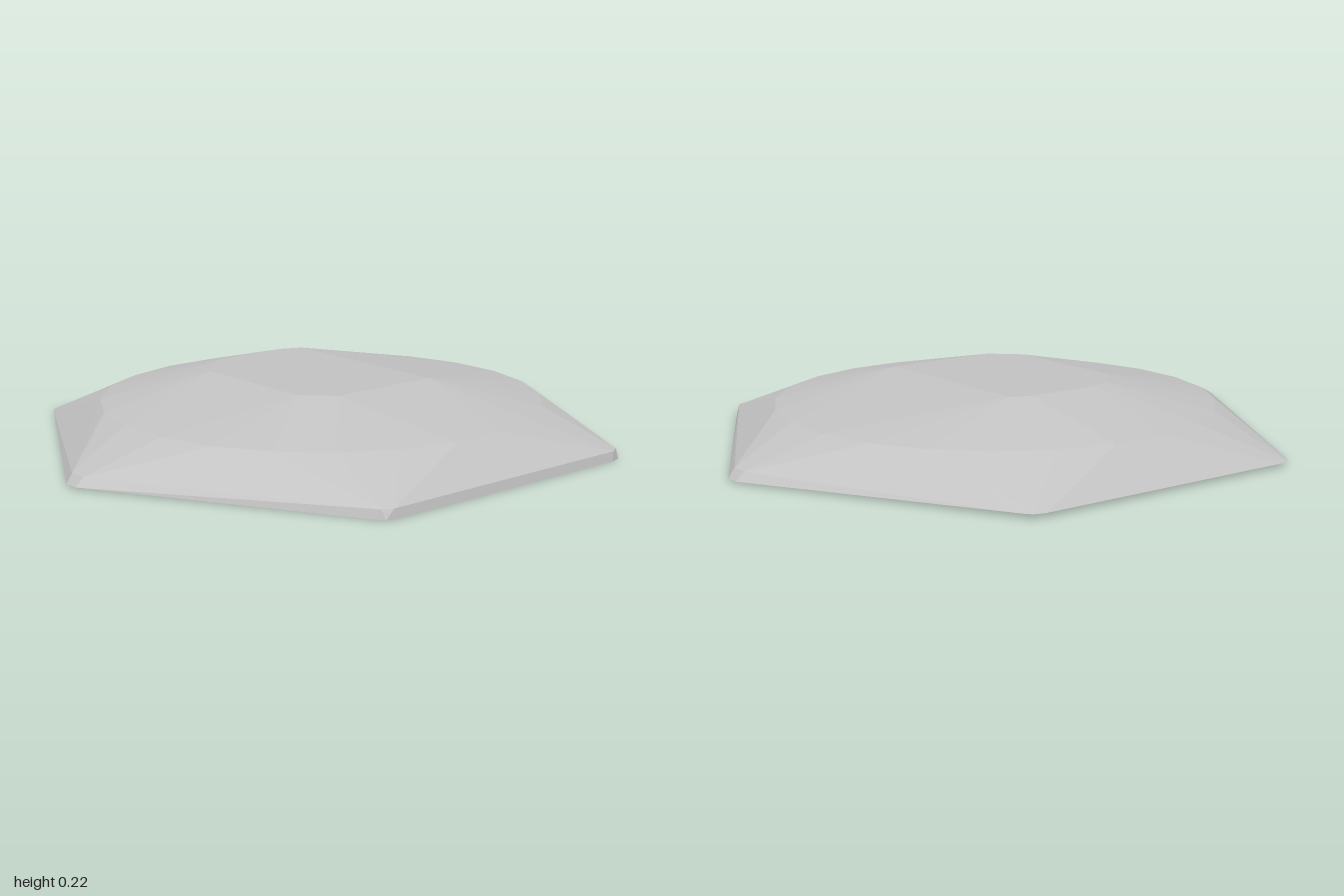
import * as THREE from 'three';
import { ConvexGeometry } from 'three/addons/geometries/ConvexGeometry.js';

export function createModel() {
  const group = new THREE.Group();
  group.name = 'hexagonalStone';
  const stone = new THREE.MeshStandardMaterial({ color: 0xc2c2c2 });
  stone.name = 'pale grey stone';

  const points = [];
  const add = (x, y, z) => points.push(new THREE.Vector3(x, y, z));

  // Hexagonal base with clipped corners, tilted slightly up towards the back
  const baseY = (z) => 0.0075 * (0.875 - z);
  for (const sx of [-1, 1]) {
    for (const sz of [-1, 1]) {
      for (const [x, z] of [[1, 0.025], [0.53, 0.84], [0.51, 0.865], [0.47, 0.875]]) {
        add(sx * x, baseY(sz * z), sz * z);
      }
    }
    // Low rim on the side and front corners
    add(sx * 0.975, 0.035, 0.03);
    add(sx * 0.975, 0.035, -0.03);
    add(sx * 0.515, 0.03, 0.85);
    add(sx * 0.48, 0.03, 0.868);
  }

  // Round shoulder
  const sides = 24;
  for (let i = 0; i < sides; i++) {
    const a = ((i + 0.5) / sides) * Math.PI * 2;
    add(Math.cos(a) * 0.742, 0.132, Math.sin(a) * 0.742);
  }

  // Uneven flat crown
  const crown = [
    [-0.13, -0.37], [0.13, -0.37], [0.2, -0.34], [0.2, 0.31],
    [-0.2, 0.31], [-0.29, 0.22], [-0.29, -0.24], [-0.2, -0.34],
  ];
  for (const [x, z] of crown) add(x, 0.219 - 0.006 * z, z);

  const slab = new THREE.Mesh(new ConvexGeometry(points), stone);
  slab.name = 'domedSlab';
  group.add(slab);
  return group;
}
